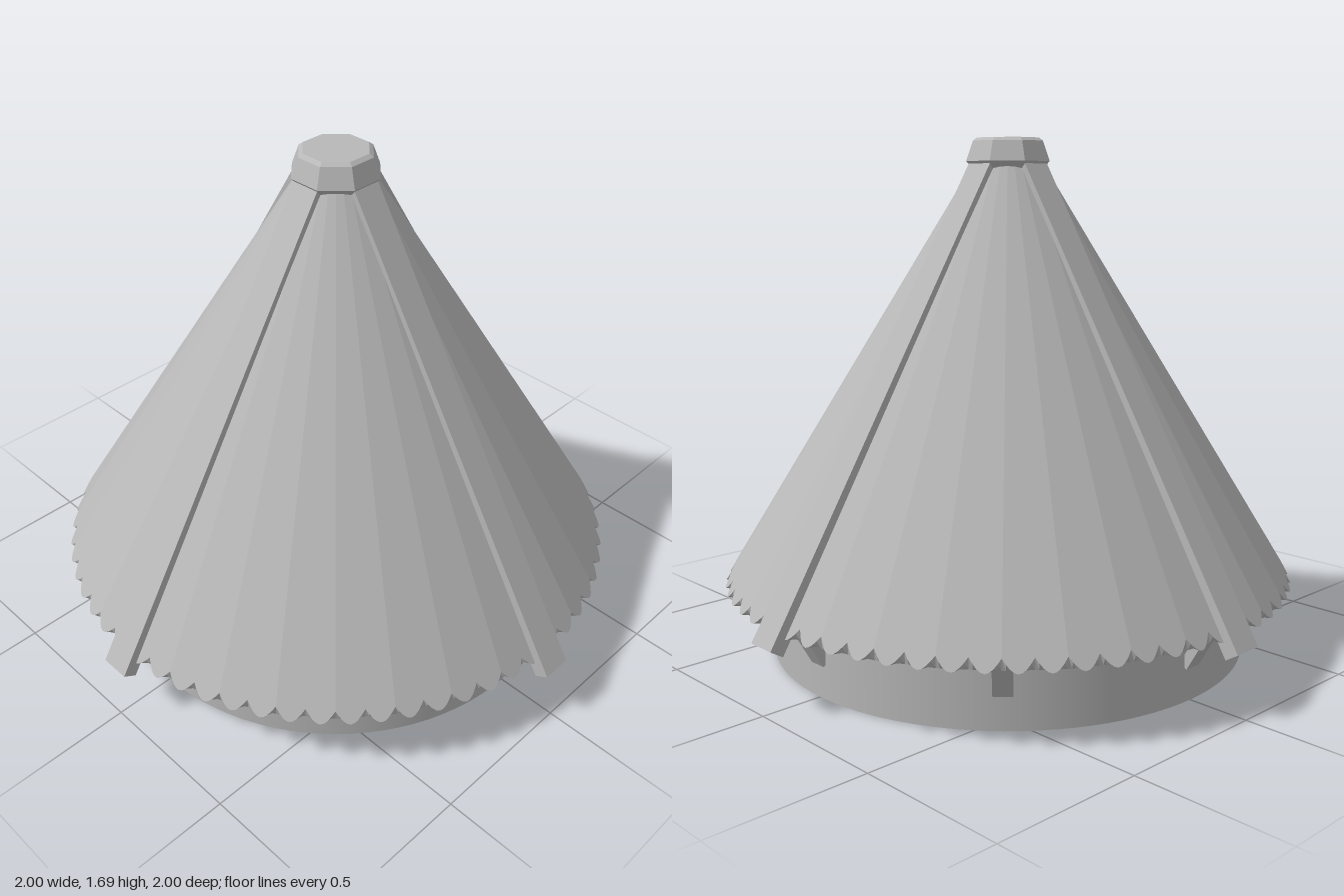
import * as THREE from 'three';

const SIDES = 32, PER_SIDE = 16, APEX = 1.796, SLOPE = 1.635, EAVE = 0.235, WALL_R = 0.795;

// radius factor of a regular polygon at angle a, so points stay on flat facets
function polygonFactor(a) {
  const step = (Math.PI * 2) / SIDES;
  const local = (((a % step) + step) % step) - step / 2;
  return Math.cos(step / 2) / Math.cos(local);
}

// flat-shaded band between two rings, each ring a function of angle giving [radius, y]
function band(upper, lower) {
  const n = SIDES * PER_SIDE, pos = [];
  const at = (ring, i) => {
    const a = ((i % n) / n) * Math.PI * 2, [r, y] = ring(a);
    return [r * Math.sin(a), y, r * Math.cos(a)];
  };
  for (let i = 0; i < n; i++) {
    const a = at(upper, i), b = at(lower, i), c = at(lower, i + 1), d = at(upper, i + 1);
    pos.push(...a, ...b, ...c, ...a, ...c, ...d);
  }
  const g = new THREE.BufferGeometry();
  g.setAttribute('position', new THREE.Float32BufferAttribute(pos, 3));
  g.computeVertexNormals();
  return g;
}

export function createModel() {
  const model = new THREE.Group();
  model.name = 'conicalRoof';
  const grey = new THREE.MeshStandardMaterial({ color: 0xb8b8b8, side: THREE.DoubleSide });
  grey.name = 'grey';

  const add = (name, geometry, parent = model) => {
    const mesh = new THREE.Mesh(geometry, grey);
    mesh.name = name;
    parent.add(mesh);
    return mesh;
  };

  // round wall, open at both ends
  const wall = add('wall', new THREE.CylinderGeometry(WALL_R, WALL_R, EAVE, 96, 1, true));
  wall.position.y = EAVE / 2;

  // faceted cone skin with a scalloped lower edge
  const onCone = (a, t) => [t * polygonFactor(a), APEX - t * SLOPE];
  const topRing = (a) => onCone(a, 0.1075);
  const scallops = (a) => onCone(a, 0.955 - 0.023 * (1 - Math.abs(Math.sin(SIDES * a))));
  const rim = (a) => [0.928 * polygonFactor(a), EAVE];
  add('roofSkin', band(topRing, scallops));
  add('eaveRim', band(scallops, rim));
  add('soffit', band(rim, () => [WALL_R, EAVE]));

  // four ridge beams lying on the slope
  for (let i = 0; i < 4; i++) {
    const arm = new THREE.Group();
    arm.name = 'ridgeBeam' + (i + 1);
    arm.rotation.y = (i * Math.PI) / 2;
    const beam = add('beam', new THREE.BoxGeometry(0.05, 1.66, 0.1), arm);
    beam.position.set(0.539, 0.902, 0);
    beam.rotation.z = 0.558;
    model.add(arm);
  }

  // eight slanted struts from the wall to the eave
  for (let i = 0; i < 8; i++) {
    const arm = new THREE.Group();
    arm.name = 'eaveStrut' + (i + 1);
    arm.rotation.y = (i * Math.PI) / 4;
    const strut = add('strut', new THREE.BoxGeometry(0.03, 0.17, 0.06), arm);
    strut.position.set(0.832, 0.187, 0);
    strut.rotation.z = -0.53;
    model.add(arm);
  }

  // eight-sided cap with bevelled edges
  const profile = [[0, 1.58], [0.115, 1.58], [0.146, 1.615], [0.122, 1.68], [0.108, 1.69], [0, 1.69]]
    .map(([r, y]) => new THREE.Vector2(r, y));
  const capGeometry = new THREE.LatheGeometry(profile, 8, Math.PI / 8).toNonIndexed();
  capGeometry.computeVertexNormals();
  add('cap', capGeometry);

  return model;
}
